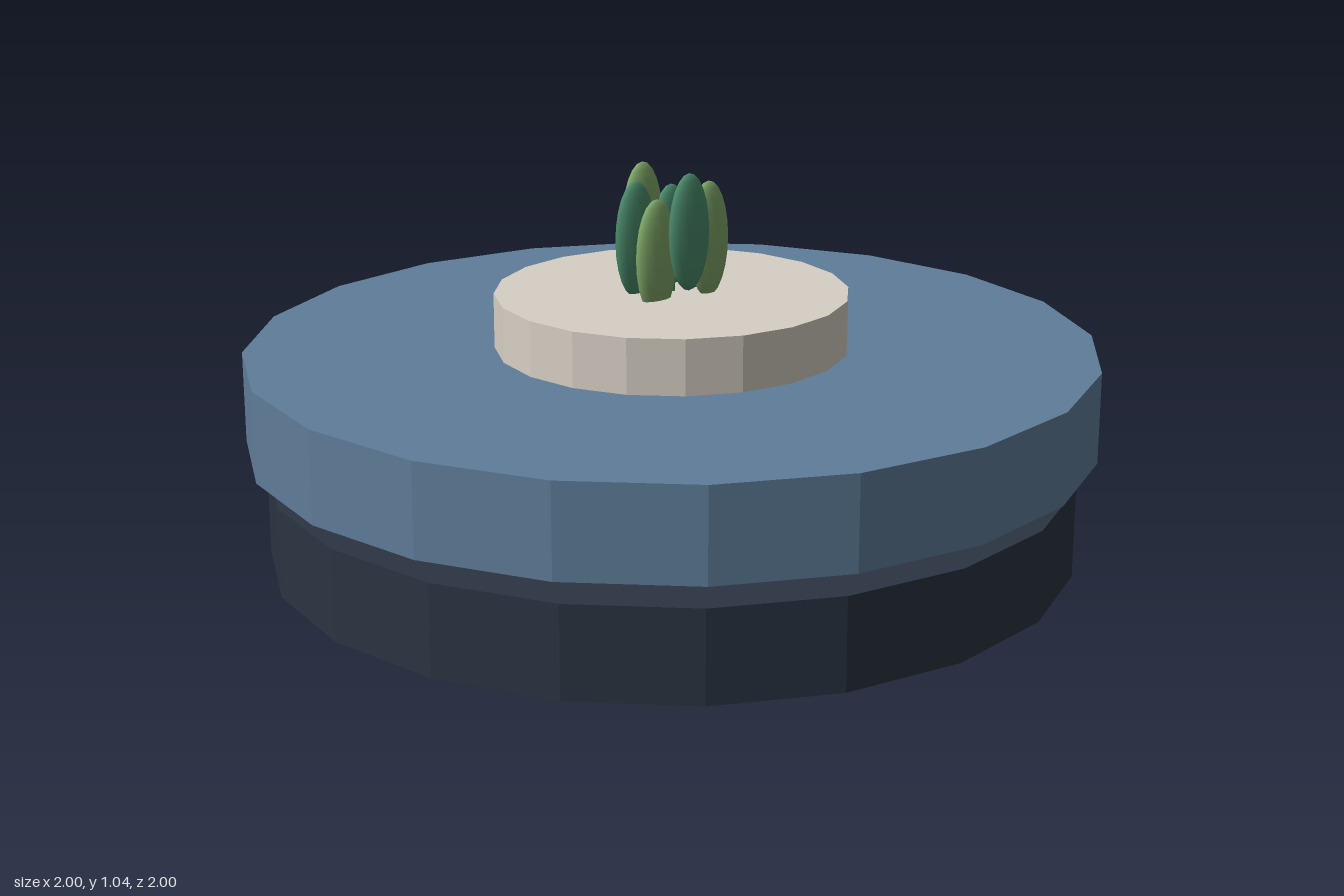
import * as THREE from 'three';

const material = (color, flatShading = false) =>
  new THREE.MeshStandardMaterial({ color, flatShading });

export function createModel() {
  const model = new THREE.Group();
  model.name = 'discPlanter';

  function add(name, geometry, mat, x, y, z) {
    const mesh = new THREE.Mesh(geometry, mat);
    mesh.name = name;
    mesh.position.set(x, y, z);
    model.add(mesh);
    return mesh;
  }

  // 20-sided drum between two heights
  function drum(name, radius, bottom, top, color) {
    const geometry = new THREE.CylinderGeometry(radius, radius, top - bottom, 20);
    add(name, geometry, material(color, true), 0, (bottom + top) / 2, 0);
  }

  // Pot core with two wide discs around it
  drum('pot', 0.415, 0, 0.75, 0xd6cfc4);
  drum('lowerDisc', 0.955, 0.125, 0.34, 0x2b3442);
  drum('upperDisc', 1, 0.405, 0.62, 0x5f7d99);

  // Thin stem in the middle of the leaves
  const darkGreen = material(0x4a8a6a);
  const lightGreen = material(0x7fa668);
  add('stem', new THREE.CylinderGeometry(0.008, 0.008, 0.1, 8), darkGreen, 0, 0.79, 0);

  // Ring of seven upright leaves, in two greens and three heights
  const leaf = new THREE.SphereGeometry(1, 16, 12).scale(0.057, 0.1375, 0.025);
  for (let i = 0; i < 7; i++) {
    const angle = (i / 7) * Math.PI * 2;
    add('leaf' + (i + 1), leaf, i % 2 ? lightGreen : darkGreen,
      0.086 * Math.cos(angle), 0.8475 + 0.03 * (i % 3), 0.086 * Math.sin(angle));
  }

  return model;
}
